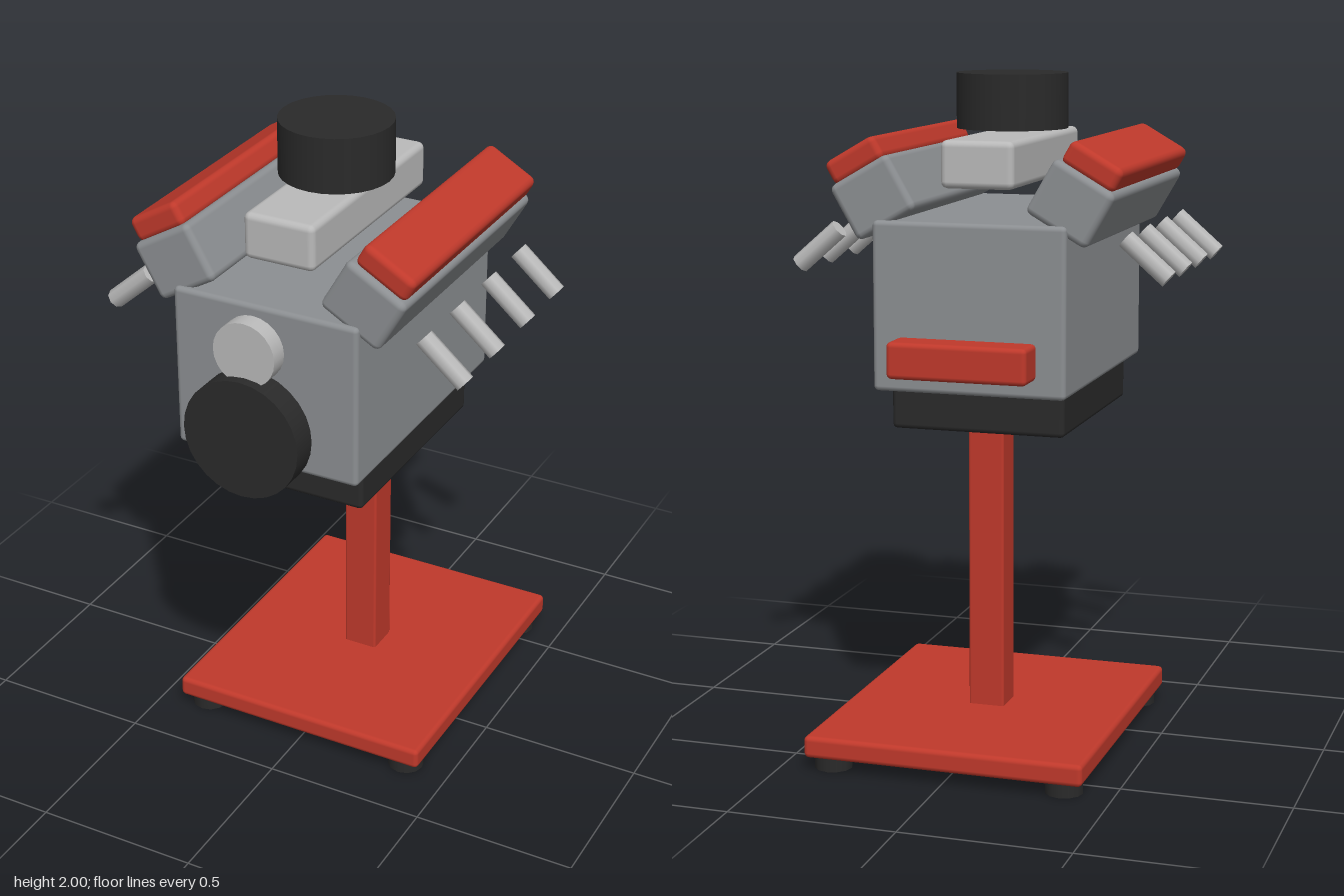
import * as THREE from 'three';
import { RoundedBoxGeometry } from 'three/addons/geometries/RoundedBoxGeometry.js';

const paint = (color) => new THREE.MeshStandardMaterial({ color });

export function createModel() {
  const model = new THREE.Group();
  model.name = 'engineOnStand';
  const red = paint(0xc0392b), black = paint(0x2a2a2a);
  const iron = paint(0x8c8f92), alloy = paint(0xbababa);
  const midZ = 0.064; // engine centre along its length
  const standZ = -0.146; // stand centre

  function add(name, geometry, material, x, y, z, parent = model) {
    const mesh = new THREE.Mesh(geometry, material);
    mesh.name = name;
    mesh.position.set(x, y, z);
    parent.add(mesh);
    return mesh;
  }
  const box = (w, h, d, r = 0.015) => new RoundedBoxGeometry(w, h, d, 2, r);
  const disc = (r, h, sides) => new THREE.CylinderGeometry(r, r, h, sides);

  // Stand: base plate, feet, post and rear mounting bar
  add('basePlate', box(0.843, 0.066, 0.982), red, 0, 0.073, standZ);
  for (const x of [-0.352, 0.352])
    for (const dz of [-0.423, 0.423])
      add('foot', disc(0.056, 0.042, 12), black, x, 0.021, standZ + dz);
  add('post', box(0.11, 0.92, 0.11, 0.008), red, 0, 0.535, standZ);
  add('mountBar', box(0.42, 0.108, 0.112), red, 0, 1.203, -0.431);

  // Engine body
  add('oilPan', box(0.53, 0.135, 0.7), black, 0, 1.032, midZ);
  add('block', box(0.584, 0.5, 0.868), iron, 0, 1.341, midZ);
  add('intakeManifold', box(0.223, 0.14, 0.7, 0.02), alloy, 0, 1.75, midZ - 0.003);
  add('airFilter', disc(0.168, 0.165, 28), black, 0, 1.9175, midZ);

  // Front pulleys
  add('crankPulley', disc(0.182, 0.082, 28), black, 0, 1.243, 0.599).rotation.x = Math.PI / 2;
  add('upperPulley', disc(0.097, 0.055, 24), alloy, 0, 1.495, 0.583).rotation.x = Math.PI / 2;

  // Cylinder banks, tilted outward on each side
  for (const side of [1, -1]) {
    const bank = new THREE.Group();
    bank.name = side > 0 ? 'leftBank' : 'rightBank';
    bank.position.set(side * 0.297, 1.654, midZ);
    bank.rotation.z = -side * Math.PI / 6;
    model.add(bank);
    add('cylinderHead', box(0.208, 0.18, 0.838, 0.02), iron, 0, 0, 0, bank);
    add('valveCover', box(0.177, 0.075, 0.81, 0.02), red, 0, 0.121, 0, bank);

    // Exhaust stubs
    for (let i = 0; i < 4; i++) {
      const pipe = add('exhaustPipe', disc(0.029, 0.168, 8), alloy,
        side * 0.5, 1.495, midZ + (i - 1.5) * 0.211);
      pipe.rotation.z = side * THREE.MathUtils.degToRad(49);
    }
  }
  return model;
}
